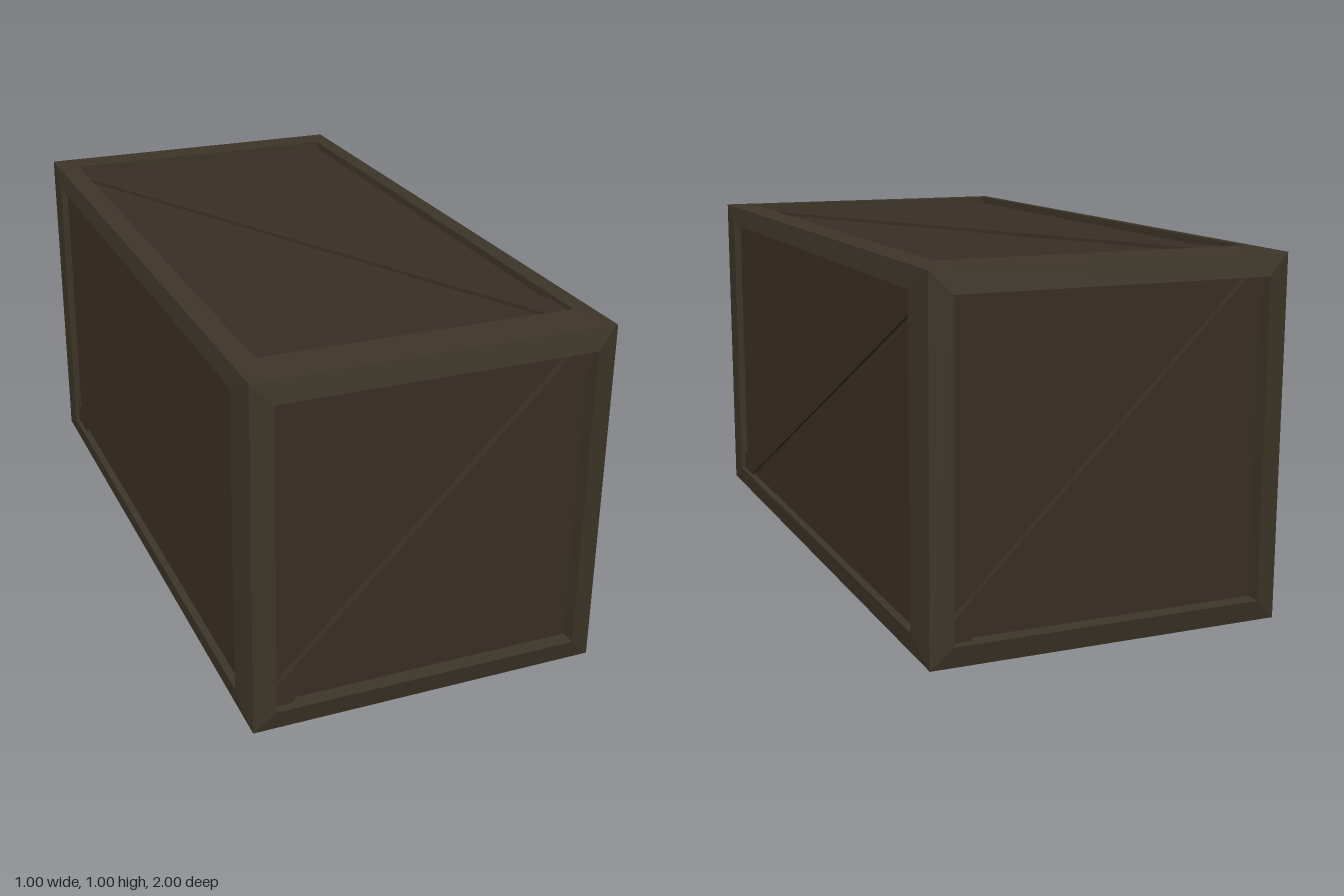
import * as THREE from 'three';

const frameMat = new THREE.MeshStandardMaterial({ name: 'frame wood', color: 0x3d3528 });
const panelMat = new THREE.MeshStandardMaterial({ name: 'panel wood', color: 0x392e24 });

const EDGE = 0.493;   // corner of the gently crowned frame
const CREST = 0.5;    // highest line of the frame
const INNER = 0.434;  // half size of the panel opening
const FLOOR = 0.478;  // panel depth
const BRACE = 0.488;  // top of the diagonal plank
const CUT = 0.05;     // brace width along the frame

// Each side is made facing +z on a unit cube
function frameGeometry() {
  const r = Math.SQRT2;
  const profile = [[EDGE, EDGE], [INNER, CREST], [INNER, FLOOR]]
    .map(([x, y]) => new THREE.Vector2(x * r, y));
  return new THREE.LatheGeometry(profile, 4, Math.PI / 4).toNonIndexed().rotateX(Math.PI / 2);
}

function panelGeometry() {
  return new THREE.PlaneGeometry(INNER * 2, INNER * 2).translate(0, 0, FLOOR);
}

// Diagonal plank with its ends trimmed to the frame corners
function braceGeometry() {
  const a = INNER, b = INNER - CUT;
  const outline = [[-a, -a], [-b, -a], [a, b], [a, a], [b, a], [-a, -b]]
    .map(([x, y]) => new THREE.Vector2(x, y));
  return new THREE.ExtrudeGeometry(new THREE.Shape(outline), { depth: BRACE - FLOOR, bevelEnabled: false })
    .translate(0, 0, FLOOR);
}

export function createModel() {
  const crate = new THREE.Group();
  crate.name = 'crate';
  const q = Math.PI / 2;
  // name, spin in its own plane, tilt about x, turn about y
  const sides = [
    ['front', 0, 0, 0],
    ['left', 0, 0, q],
    ['back', 0, 0, 2 * q],
    ['right', 0, 0, -q],
    ['top', q, -q, 0],
    ['bottom', 0, q, 0],
  ];
  for (const [name, spin, tilt, turn] of sides) {
    const side = new THREE.Group();
    side.name = name + 'Side';
    const parts = [
      ['Frame', frameGeometry(), frameMat],
      ['Panel', panelGeometry(), panelMat],
      ['Brace', braceGeometry(), panelMat],
    ];
    for (const [part, geometry, material] of parts) {
      // Stretch the cube to double length along z
      geometry.rotateZ(spin).rotateX(tilt).rotateY(turn).scale(1, 1, 2).translate(0, 0.5, 0);
      geometry.computeVertexNormals();
      const mesh = new THREE.Mesh(geometry, material);
      mesh.name = name + part;
      side.add(mesh);
    }
    crate.add(side);
  }
  return crate;
}
